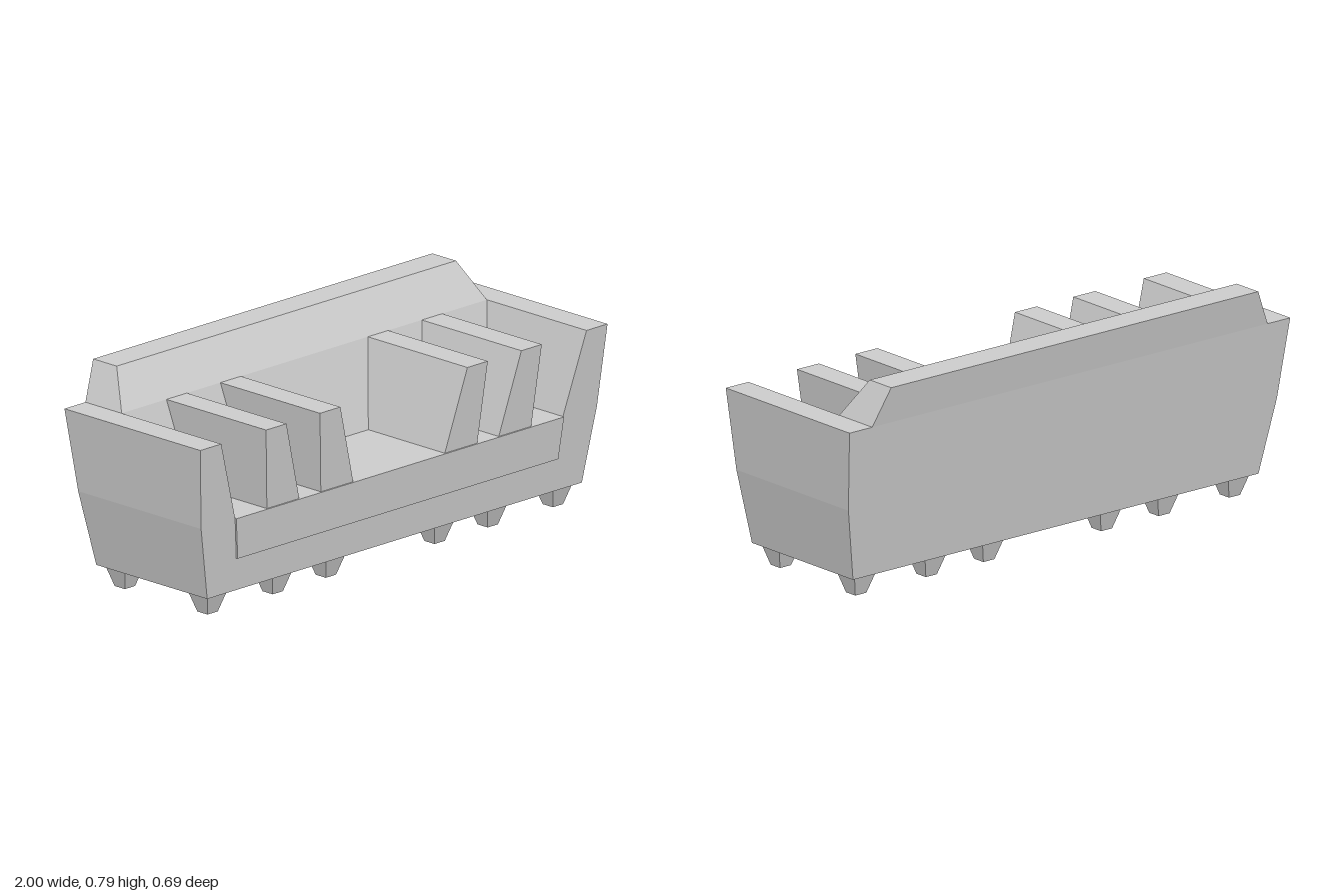
import * as THREE from 'three';

const material = new THREE.MeshStandardMaterial({ color: 0xcccccc, flatShading: true });

// Solid through stacked rectangles; each level is [y, xMin, xMax, zBack, zFront], bottom to top
function loft(name, levels) {
  const pos = [];
  const rings = levels.map(([y, x0, x1, z0, z1]) => [[x0, y, z1], [x1, y, z1], [x1, y, z0], [x0, y, z0]]);
  const quad = (a, b, c, d) => pos.push(...a, ...b, ...c, ...a, ...c, ...d);
  for (let i = 0; i < rings.length - 1; i++) {
    for (let k = 0; k < 4; k++) {
      const n = (k + 1) % 4;
      quad(rings[i][k], rings[i][n], rings[i + 1][n], rings[i + 1][k]);
    }
  }
  const [b, t] = [rings[0], rings[rings.length - 1]];
  quad(b[3], b[2], b[1], b[0]);
  quad(t[0], t[1], t[2], t[3]);
  const geometry = new THREE.BufferGeometry();
  geometry.setAttribute('position', new THREE.Float32BufferAttribute(pos, 3));
  geometry.computeVertexNormals();
  const mesh = new THREE.Mesh(geometry, material);
  mesh.name = name;
  return mesh;
}

// The same solid on the left and on the right
function pair(name, levels) {
  const mirrored = levels.map(([y, x0, x1, z0, z1]) => [y, -x1, -x0, z0, z1]);
  return [loft(name + 'Left', levels), loft(name + 'Right', mirrored)];
}

export function createModel() {
  const group = new THREE.Group();
  group.name = 'sofa';
  const [floorY, seatY, armY, topY] = [0.078, 0.35, 0.648, 0.785];

  // Flared base and seat
  group.add(loft('base', [
    [floorY, -0.92, 0.92, -0.243, 0.299],
    [seatY, -0.972, 0.972, -0.28, 0.321],
  ]));

  // Raised panel along the front of the seat
  group.add(loft('frontPanel', [
    [0.198, -0.787, 0.787, 0.308, 0.316],
    [seatY, -0.805, 0.805, 0.32, 0.327],
  ]));

  // Backrest, narrowing above the arms
  group.add(loft('backrest', [
    [seatY, -0.805, 0.805, -0.28, -0.053],
    [armY, -0.897, 0.897, -0.319, -0.142],
    [topY, -0.833, 0.833, -0.345, -0.23],
  ]));

  // Outer arms
  group.add(...pair('arm', [
    [seatY, 0.805, 0.972, -0.28, 0.321],
    [armY, 0.897, 1, -0.319, 0.345],
  ]));

  // Dividers between the seats
  for (const [i, x] of [0.312, 0.577].entries()) {
    group.add(...pair('divider' + (i + 1), [
      [seatY, x - 0.087, x + 0.072, -0.053, 0.321],
      [armY, x, x + 0.1, -0.142, 0.345],
    ]));
  }

  // Tapered feet under the arms and dividers
  for (const [row, z] of [['front', 0.229], ['back', -0.175]]) {
    for (const [i, x] of [0.267, 0.528, 0.848].entries()) {
      group.add(...pair(row + 'Foot' + (i + 1), [
        [0, x - 0.025, x + 0.025, z - 0.025, z + 0.025],
        [floorY, x - 0.049, x + 0.049, z - 0.049, z + 0.049],
      ]));
    }
  }
  return group;
}
